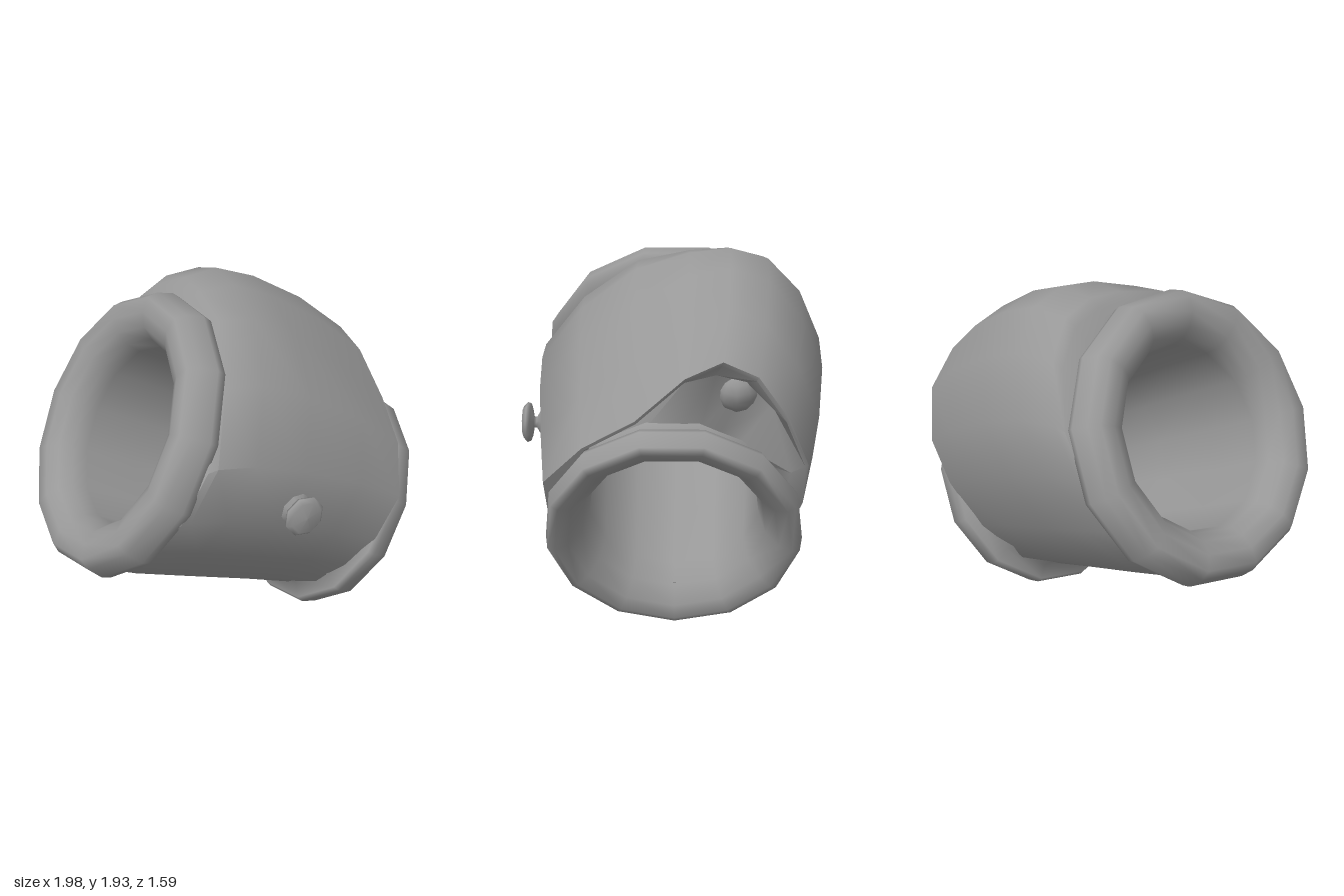
import * as THREE from 'three';
import { toCreasedNormals } from 'three/addons/utils/BufferGeometryUtils.js';

const TILT = -Math.atan2(0.474, 0.88);
const AXIS_Y = 0.82, AXIS_Z = -0.025;
const material = new THREE.MeshStandardMaterial({ color: 0x989898 });

function addMesh(parent, name, geometry, x = 0, y = 0, z = 0) {
  const mesh = new THREE.Mesh(geometry, material);
  mesh.name = name;
  mesh.position.set(x, y, z);
  parent.add(mesh);
  return mesh;
}

const lathe = (points, sides, start = 0) =>
  new THREE.LatheGeometry(points.map(([r, h]) => new THREE.Vector2(r, h)), sides, start);

// Bored tube with a broad rounded rim at one end and a thin flange at the other: [radius, position]
function tubeGeometry() {
  const profile = [
    [0.46, -0.3], [0.48, -0.7], [0.48, -1.02], [0.495, -1.1], [0.54, -1.165], [0.61, -1.2], [0.69, -1.2],
    [0.73, -1.15], [0.755, -1.06], [0.745, -1.01], [0.67, -0.97], [0.54, -0.93],
    [0.53, 0.05], [0.56, 0.2], [0.635, 0.225], [0.65, 0.26], [0.634, 0.35],
    [0.595, 0.365], [0.53, 0.335], [0.465, 0.25], [0.435, 0.12], [0.46, -0.3],
  ];
  return lathe(profile, 13, Math.PI / 2).rotateZ(-Math.PI / 2);
}

// Bulged housing lofted along the axis, its far end cut back and hollowed at the top
function housingGeometry() {
  // section outline: [height 0..1, depth -1..1, drop towards the far end], from the top round the back
  const outline = [
    [1, -0.38, 0], [0.965, -0.62, 0], [0.85, -0.83, 0], [0.66, -0.98, 0], [0.48, -0.96, 0],
    [0.28, -0.83, 0], [0.1, -0.58, 0], [0.01, -0.25, 0], [0.01, 0.25, 0], [0.1, 0.6, 0], [0.23, 0.83, 0],
    [0.375, 0.98, 0], [0.57, 1, 0], [0.79, 0.67, 0.06], [0.95, 0.25, 0.11], [0.99, -0.12, 0.03],
  ];
  // stations: [fraction, bottom, top, back depth, front depth]
  const stations = [
    [0, 0.12, 1.58, 0.76, 0.71], [0.03, 0.12, 1.64, 0.775, 0.718], [0.19, 0.135, 1.746, 0.81, 0.715],
    [0.43, 0.18, 1.78, 0.805, 0.695], [0.75, 0.24, 1.77, 0.76, 0.65], [1, 0.28, 1.705, 0.69, 0.61],
  ];
  const rimX = (y) => 0.235 - 1.6 * Math.max(0, y - 1.37) ** 2;
  const rings = stations.map(([f, bottom, top, back, front]) => outline.map(([v, w, drop]) => {
    const y = bottom + (v - drop * f) * (top - bottom);
    return [-1.02 + f * (rimX(y) + 1.02), y, w * (w < 0 ? back : front)];
  }));

  // shrink the far rim towards the axis, sinking only its upper part
  const rim = rings[rings.length - 1];
  const inset = (k, depth) => rim.map(([x, y, z]) => [
    y < 1.25 ? x : Math.min(x, depth), AXIS_Y + (y - AXIS_Y) * k, AXIS_Z + (z - AXIS_Z) * k,
  ]);
  // ring of points buried in the tube wall
  const collar = (x) => rim.map(([, y, z]) => {
    const k = 0.51 / Math.hypot(y - AXIS_Y, z - AXIS_Z);
    return [x, AXIS_Y + (y - AXIS_Y) * k, AXIS_Z + (z - AXIS_Z) * k];
  });
  // near end closed inside the broad rim; far end has a lip, recess wall and floor
  rings.unshift(collar(-1.04));
  rings.push(inset(0.975, 1), inset(0.87, 0.01), collar(0.08));

  const n = outline.length, index = [];
  for (let i = 0; i < rings.length - 1; i++) {
    for (let j = 0; j < n; j++) {
      const a = i * n + j, b = a + n, c = i * n + (j + 1) % n, d = c + n;
      index.push(a, b, c, b, d, c);
    }
  }
  const geometry = new THREE.BufferGeometry();
  geometry.setAttribute('position', new THREE.Float32BufferAttribute(rings.flat(2), 3));
  geometry.setIndex(index);
  return toCreasedNormals(geometry, 0.9);
}

export function createModel() {
  const model = new THREE.Group();
  model.name = 'tiltedSleeve';

  // Everything is laid out along one axis, then tipped
  const body = new THREE.Group();
  body.name = 'sleeveBody';
  body.rotation.z = TILT;
  model.add(body);

  addMesh(body, 'rimmedTube', tubeGeometry(), 0, AXIS_Y, AXIS_Z);
  addMesh(body, 'housing', housingGeometry());

  // Small rounded bump inside the recess
  addMesh(body, 'recessBump', new THREE.SphereGeometry(0.11, 10, 8), -0.03, 1.47, -0.33);

  // Mushroom button on the front
  const button = [
    [0.09, 0.68], [0.055, 0.705], [0.03, 0.72], [0.03, 0.735], [0.1, 0.75], [0.108, 0.77],
    [0.085, 0.792], [0, 0.8],
  ];
  addMesh(body, 'frontButton', lathe(button, 8).rotateX(Math.PI / 2), -0.425, 0.895, 0);

  return model;
}
